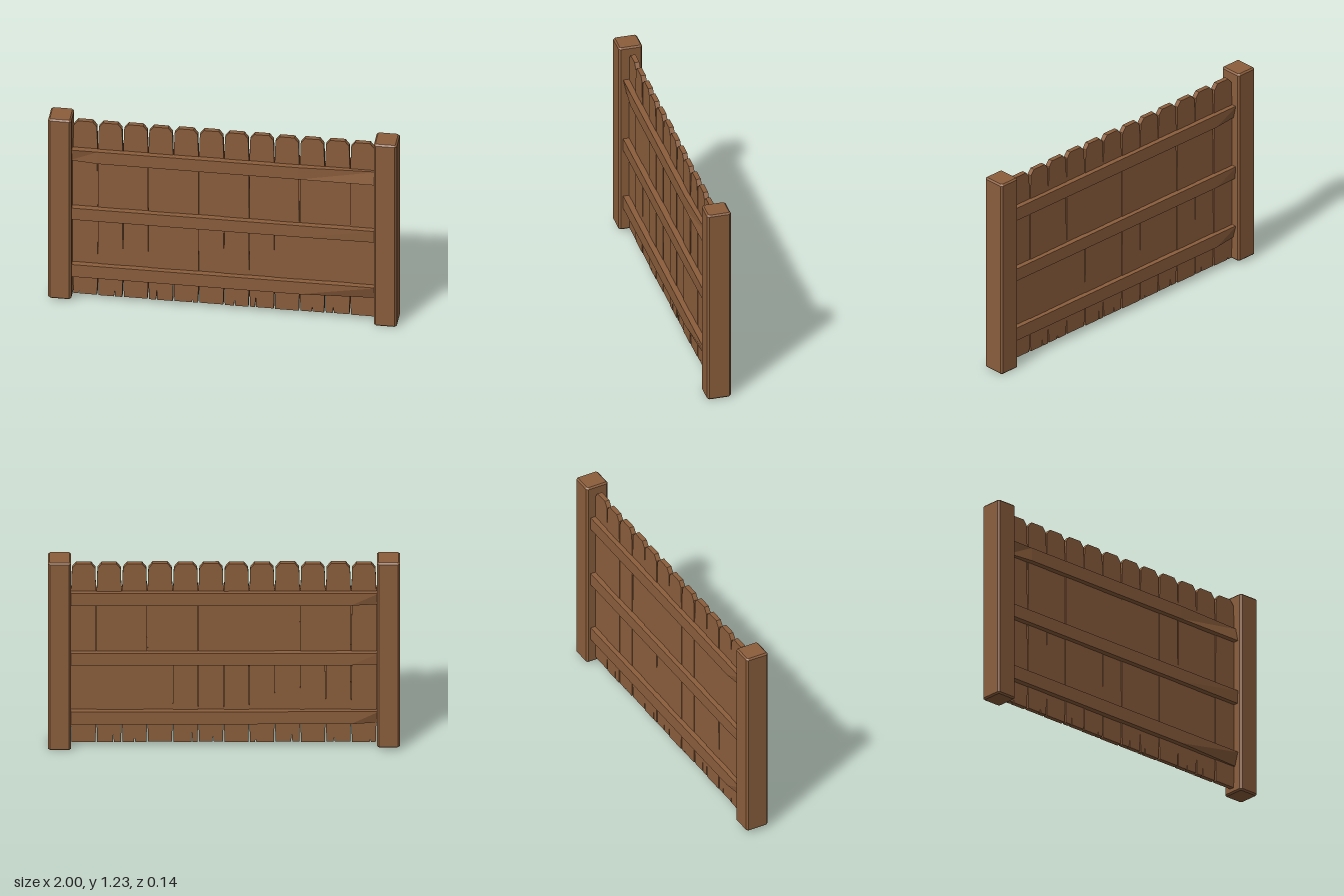
import * as THREE from 'three';

const wood = new THREE.MeshStandardMaterial({ color: 0x8b5e3c });
wood.name = 'brown wood';

// Hard facets for every part
function facet(geometry) {
  const g = geometry.index ? geometry.toNonIndexed() : geometry;
  g.computeVertexNormals();
  return g;
}

function part(name, geometry, parent) {
  const mesh = new THREE.Mesh(facet(geometry), wood);
  mesh.name = name;
  parent.add(mesh);
  return mesh;
}

function polygon(points) {
  return new THREE.Shape(points.map(([x, y]) => new THREE.Vector2(x, y)));
}

// Square post with worn, chamfered edges
function postGeometry(x0, x1, y0, y1) {
  const b = 0.009, c = 0.006, hx = (x1 - x0) / 2 - b, hz = 0.07 - b;
  const g = new THREE.ExtrudeGeometry(polygon([
    [-hx + c, -hz], [hx - c, -hz], [hx, -hz + c], [hx, hz - c],
    [hx - c, hz], [-hx + c, hz], [-hx, hz - c], [-hx, -hz + c],
  ]), { depth: y1 - y0 - 2 * b, bevelEnabled: true, bevelSize: b, bevelThickness: b, bevelSegments: 1 });
  g.rotateX(-Math.PI / 2);
  g.translate((x0 + x1) / 2, y0 + b, 0);
  return g;
}

// Rail whose outer corners are shaved at chosen ends: [end, edge, depth]
function railGeometry(y0, y1, side, shaves) {
  const g = new THREE.BoxGeometry(3, y1 - y0, 0.035, 3, 1, 1);
  const stations = [-0.88, -0.72, 0.43, 0.88];
  const p = g.attributes.position;
  for (let i = 0; i < p.count; i++) {
    const k = Math.round(p.getX(i) + 1.5);
    const end = k === 0 ? -1 : k === 3 ? 1 : 0;
    const edge = Math.sign(p.getY(i));
    let z = p.getZ(i);
    if (z * side > 0) {
      for (const [e, d, depth] of shaves) if (e === end && d === edge) z -= side * depth;
    }
    p.setXYZ(i, stations[k], p.getY(i) + (y0 + y1) / 2, z + side * 0.0275);
  }
  return g;
}

export function createModel() {
  const fence = new THREE.Group();
  fence.name = 'fencePanel';

  part('rightPost', postGeometry(-1, -0.868, 0.017, 1.23), fence);
  part('leftPost', postGeometry(0.865, 0.997, 0, 1.23), fence);

  // Twelve boards with clipped tops and tapering cracks along the joints
  const boards = new THREE.Group();
  boards.name = 'boards';
  fence.add(boards);
  const count = 12, pitch = 0.1445;
  const lowCrack = [0, 4, 3, 1, 1, 3, 3, 2, 2, 0, 0, 0, 0];
  const highCrack = [0, 4, 0, 3, 0, 0, 0, 1, 0, 5, 0, 2, 0];
  const joint = (j, side) => {
    const x = (j - count / 2) * pitch;
    const low = lowCrack[j] * 0.001, high = highCrack[j] * 0.001;
    return [[0.005, 0.028], [0.0015, 0.15], [0, 0.25], [low, 0.56], [0, 0.6],
      [high / 2, 0.64], [high, 0.93], [0.002, 1.03], [0.006, 1.165], [0.03, 1.197]]
      .map(([inset, y]) => [x + side * inset, y]);
  };
  for (let i = 0; i < count; i++) {
    const left = joint(i, 1), right = joint(i + 1, -1);
    const mid = (left[0][0] + right[0][0]) / 2;
    const outline = [...right, ...left.reverse()];
    // Split in the foot of some boards
    if (i % 3 !== 2) {
      const s = mid + ((i * 5) % 7 - 3) * 0.012;
      outline.push([s - 0.004, 0.028], [s + 0.001, 0.05 + (i % 4) * 0.015], [s + 0.003, 0.028]);
    }
    const g = new THREE.ExtrudeGeometry(polygon(outline), { depth: 0.028, bevelEnabled: false });
    g.translate(0, 0, -0.016 + ((i * 3) % 5 - 2) * 0.001);
    part('board', g, boards);
  }

  // Thin core closing the cracks between boards
  const core = new THREE.BoxGeometry(1.74, 0.8, 0.01);
  core.translate(0, 0.58, -0.002);
  part('core', core, fence);

  // Three rails on each face, shaved unevenly at the ends
  const rails = [
    ['bottomRail', 0.16, 0.242, [[1, -1, 0.025]], [[-1, -1, 0.022]]],
    ['middleRail', 0.547, 0.625, [[1, -1, 0.004]], [[-1, -1, 0.006]]],
    ['topRail', 0.938, 1.018, [[-1, -1, 0.018], [1, 1, 0.018]], [[-1, -1, 0.018]]],
  ];
  for (const [name, y0, y1, front, back] of rails) {
    part(name + 'Front', railGeometry(y0, y1, 1, front), fence);
    part(name + 'Back', railGeometry(y0, y1, -1, back), fence);
  }
  return fence;
}
